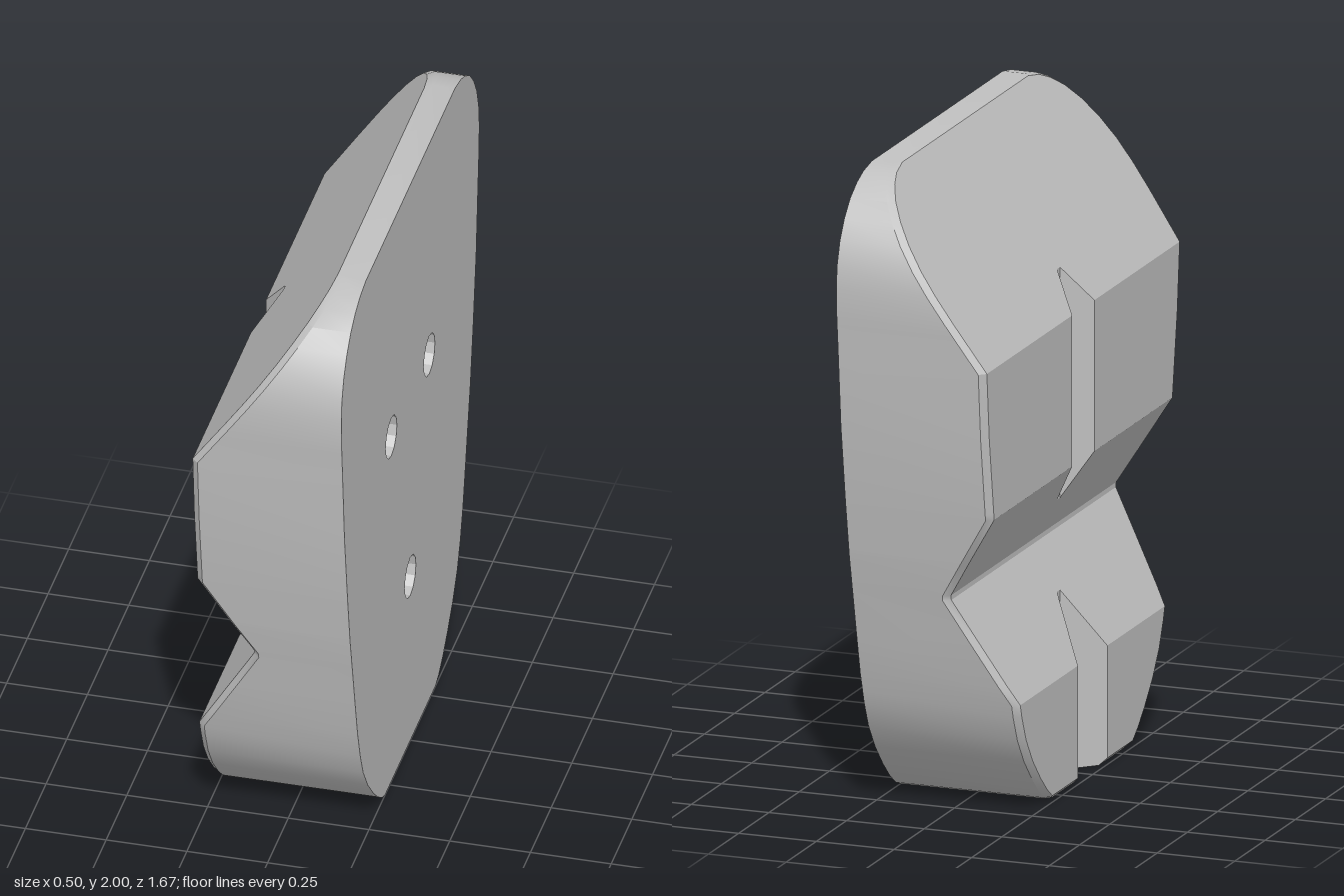
import * as THREE from 'three';
import { toCreasedNormals } from 'three/addons/utils/BufferGeometryUtils.js';

const FRONT = 0.25, CHAMFER = 0.02, GROOVE_X = -0.14, GROOVE_Z = 0.012;

// half width of the outline at each height: [y, z]
const OUTLINE = [
  [0, 0.305], [0.015, 0.345], [0.05, 0.395], [0.1, 0.45], [0.17, 0.515], [0.25, 0.57], [0.33, 0.605],
  [0.43, 0.637], [0.56, 0.668], [0.7, 0.7], [0.82, 0.728], [1, 0.76], [1.24, 0.797], [1.45, 0.817],
  [1.6, 0.832], [1.68, 0.835], [1.75, 0.828], [1.82, 0.805], [1.88, 0.768], [1.93, 0.72],
  [1.965, 0.665], [1.987, 0.61], [2, 0.54],
];
// depth of the contoured side at each height: [y, x]
const PROFILE = [[0, -0.23], [0.02, -0.25], [0.37, -0.25], [0.7, -0.06], [0.715, -0.06],
  [0.98, -0.22], [1.45, -0.22], [2, 0.16]];

function sample(table, y) {
  for (let i = 1; i < table.length; i++) {
    const [y0, v0] = table[i - 1], [y1, v1] = table[i];
    if (y <= y1) return v0 + (v1 - v0) * (y - y0) / (y1 - y0);
  }
  return table[table.length - 1][1];
}

// heights where the slopes meet the groove floor
function grooveHeights() {
  const out = [];
  for (let i = 1; i < PROFILE.length; i++) {
    const [y0, p0] = PROFILE[i - 1], [y1, p1] = PROFILE[i];
    const t = (GROOVE_X - p0) / (p1 - p0);
    if (t > 0 && t < 1) out.push(y0 + (y1 - y0) * t);
  }
  return out;
}

// horizontal section: side, chamfer, contoured face and V groove, then mirrored
function section(y) {
  const w = sample(OUTLINE, y), p = sample(PROFILE, y);
  const half = [
    [FRONT, w], [p + CHAMFER, w], [p, w - CHAMFER],
    [p, GROOVE_Z + Math.max(0, GROOVE_X - p)], [Math.max(p, GROOVE_X), GROOVE_Z],
  ];
  const all = [...half, ...half.slice().reverse().map(([x, z]) => [x, -z])];
  return all.map(([x, z]) => new THREE.Vector3(x, y, z));
}

function fromTriangles(tris) {
  const pts = tris.filter(([a, b, c]) => new THREE.Triangle(a, b, c).getArea() > 1e-8).flat();
  return new THREE.BufferGeometry().setFromPoints(pts);
}

function bodyGeometry() {
  const ys = [...new Set([...OUTLINE.map(r => r[0]), ...PROFILE.map(r => r[0]), ...grooveHeights()])]
    .sort((a, b) => a - b);
  const rings = ys.map(section), tris = [];
  for (let k = 1; k < rings.length; k++) {
    const a = rings[k - 1], b = rings[k];
    for (let i = 0; i + 1 < a.length; i++) {
      tris.push([a[i], b[i], b[i + 1]], [a[i], b[i + 1], a[i + 1]]);
    }
  }
  // top and bottom caps
  for (const [ring, up] of [[rings[0], -1], [rings[rings.length - 1], 1]]) {
    const flat = ring.map(v => new THREE.Vector2(v.x, v.z));
    for (const f of THREE.ShapeUtils.triangulateShape(flat, [])) {
      const [a, b, c] = f.map(i => ring[i]);
      const n = new THREE.Triangle(a, b, c).getNormal(new THREE.Vector3());
      tris.push(n.y * up > 0 ? [a, b, c] : [a, c, b]);
    }
  }
  return toCreasedNormals(fromTriangles(tris), 0.45);
}

const HOLE_R = 0.068, HOLE_SIDES = 12, WALL = 0.06;
const HOLES = [['holeUpperLeft', 0.23, 1.24], ['holeUpperRight', -0.23, 1.24], ['holeLower', 0, 0.59]];

function circle(cz, cy) {
  return Array.from({ length: HOLE_SIDES }, (_, i) => {
    const a = i / HOLE_SIDES * Math.PI * 2;
    return new THREE.Vector2(cz + HOLE_R * Math.cos(a), cy + HOLE_R * Math.sin(a));
  });
}

// flat mounting face with three round openings
function faceGeometry() {
  const right = OUTLINE.map(([y, w]) => new THREE.Vector2(w, y));
  const left = OUTLINE.map(([y, w]) => new THREE.Vector2(-w, y)).reverse();
  const shape = new THREE.Shape([...right, ...left]);
  for (const [, z, y] of HOLES) shape.holes.push(new THREE.Path(circle(-z, y)));
  return new THREE.ShapeGeometry(shape).rotateY(Math.PI / 2).translate(FRONT, 0, 0);
}

// blind hole whose floor runs parallel to the contoured side
function holeGeometry(cz, cy) {
  const floorX = y => sample(PROFILE, y) + WALL;
  const rim = circle(cz, cy).map(v => new THREE.Vector3(FRONT, v.y, v.x));
  const floor = rim.map(v => new THREE.Vector3(floorX(v.y), v.y, v.z));
  const centre = new THREE.Vector3(floorX(cy), cy, cz);
  const tris = [];
  for (let i = 0; i < HOLE_SIDES; i++) {
    const j = (i + 1) % HOLE_SIDES;
    tris.push([rim[i], floor[i], rim[j]], [rim[j], floor[i], floor[j]], [centre, floor[j], floor[i]]);
  }
  return toCreasedNormals(fromTriangles(tris), 0.3);
}

export function createModel() {
  const model = new THREE.Group();
  model.name = 'contouredPad';
  const grey = new THREE.MeshStandardMaterial({ color: 0xc0c0c0 });
  grey.name = 'lightGrey';
  const add = (name, geometry) => {
    const mesh = new THREE.Mesh(geometry, grey);
    mesh.name = name;
    model.add(mesh);
  };
  add('contouredBody', bodyGeometry());
  add('mountingFace', faceGeometry());
  for (const [name, z, y] of HOLES) add(name, holeGeometry(z, y));
  return model;
}
